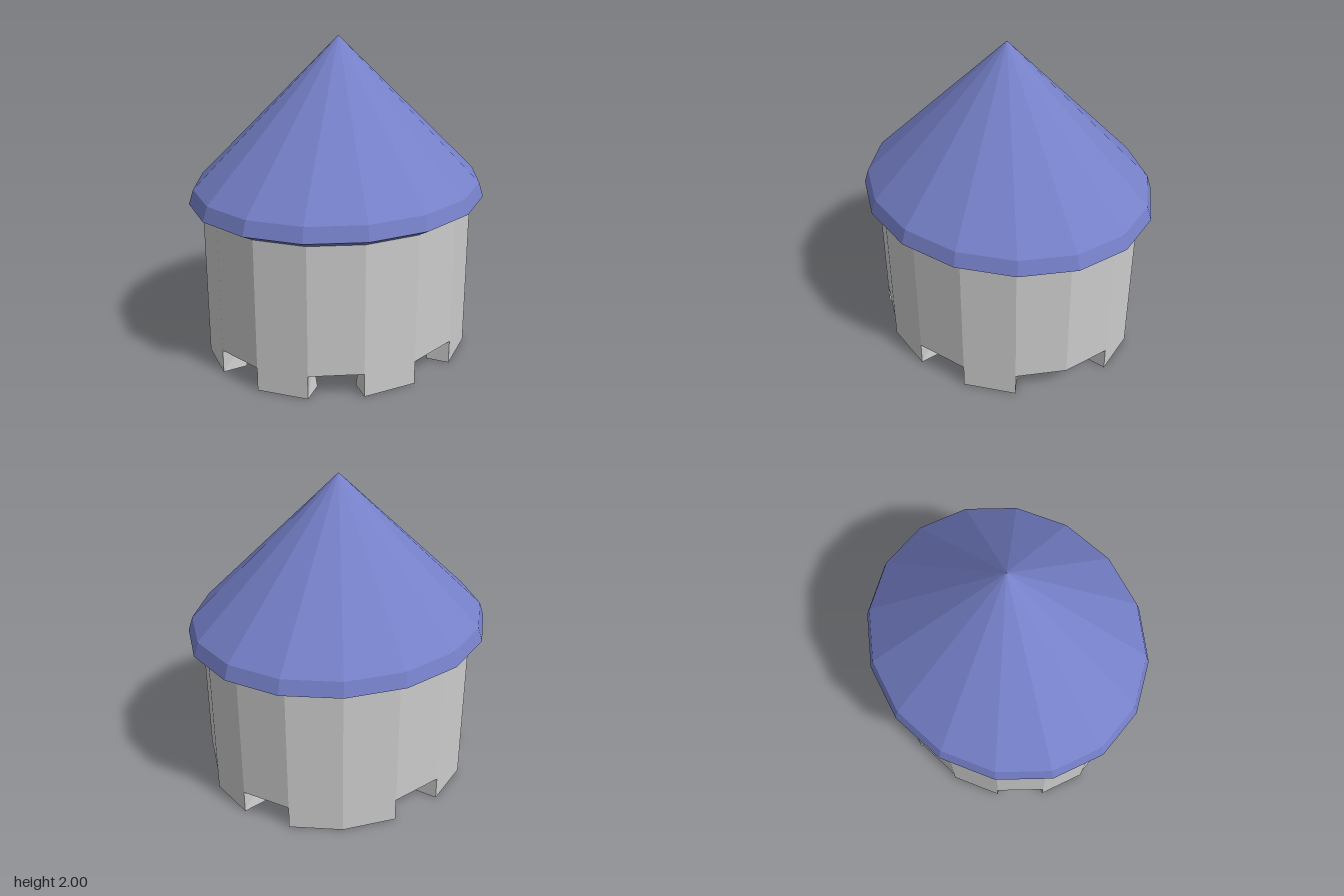
import * as THREE from 'three';

const SIDES = 16, STEP = Math.PI * 2 / SIDES;
const RX = 0.787, RZ = 0.873;      // oval wall radii
const INNER = 0.825;               // inner radius as a share of the outer
const EAVES = 0.965, NOTCH = 0.15;
const NOTCHES = new Set([0, 2, 4, 6, 7, 9, 12, 14]);

// point on the oval: angle runs from +z towards +x
const at = (r, y, a) => [RX * r * Math.sin(a), y, RZ * r * Math.cos(a)];

function wallGeometry() {
  const pos = [];
  const quad = (a, b, c, d) => pos.push(...a, ...b, ...c, ...a, ...c, ...d);
  const isNotch = i => NOTCHES.has((i + SIDES) % SIDES);
  for (let i = 0; i < SIDES; i++) {
    const a = i * STEP, b = a + STEP;
    // outer and inner faces above the notches, and their lower rim
    quad(at(1, NOTCH, a), at(1, NOTCH, b), at(1, EAVES, b), at(1, EAVES, a));
    quad(at(INNER, NOTCH, b), at(INNER, NOTCH, a), at(INNER, EAVES, a), at(INNER, EAVES, b));
    if (isNotch(i)) {
      quad(at(INNER, NOTCH, a), at(INNER, NOTCH, b), at(1, NOTCH, b), at(1, NOTCH, a));
      continue;
    }
    // tooth: free inner corners spread slightly towards the foot
    const freeA = isNotch(i - 1), freeB = isNotch(i + 1);
    const oa = at(1, 0, a), ob = at(1, 0, b);
    const ia = at(INNER, 0, a - (freeA ? 0.03 : 0)), ib = at(INNER, 0, b + (freeB ? 0.03 : 0));
    quad(oa, ob, at(1, NOTCH, b), at(1, NOTCH, a));
    quad(ib, ia, at(INNER, NOTCH, a), at(INNER, NOTCH, b));
    quad(ia, ib, ob, oa);
    if (freeA) quad(ia, oa, at(1, NOTCH, a), at(INNER, NOTCH, a));
    if (freeB) quad(ob, ib, at(INNER, NOTCH, b), at(1, NOTCH, b));
  }
  const g = new THREE.BufferGeometry();
  g.setAttribute('position', new THREE.Float32BufferAttribute(pos, 3));
  g.computeVertexNormals();
  return g;
}

function roofGeometry() {
  // ceiling, flared eave, bevelled rim, cone
  const profile = [[0, EAVES], [1, EAVES], [1.097, 1.01], [1.063, 1.1], [0, 2]]
    .map(([r, y]) => new THREE.Vector2(r, y));
  return new THREE.LatheGeometry(profile, SIDES).scale(RX, 1, RZ);
}

export function createModel() {
  const group = new THREE.Group();
  const add = (name, geometry, color) => {
    const material = new THREE.MeshStandardMaterial({ color, flatShading: true });
    const mesh = new THREE.Mesh(geometry, material);
    mesh.name = name;
    group.add(mesh);
  };
  add('notchedWall', wallGeometry(), 0xcccccc);
  add('roof', roofGeometry(), 0x7580c8);
  return group;
}
